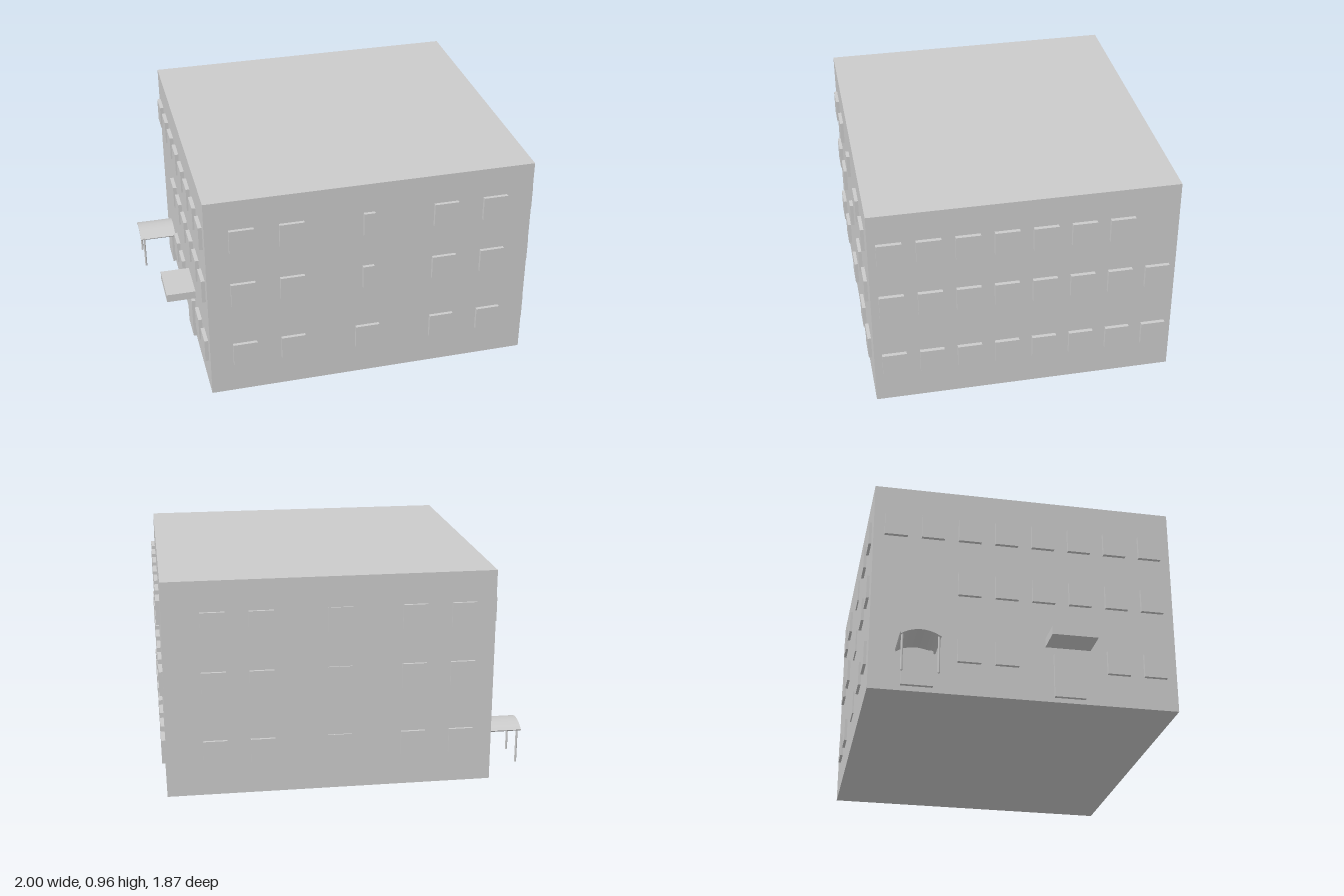
import * as THREE from 'three';

const grey = new THREE.MeshStandardMaterial({ color: 0xcccccc });
const HX = 0.713, HZ = 0.66, H = 0.96;          // half width, half depth, height
const ROWS = [0.197, 0.508, 0.772];             // window centre heights
const WIN = 0.106;

function add(parent, name, geometry, x = 0, y = 0, z = 0) {
  const mesh = new THREE.Mesh(geometry, grey);
  mesh.name = name;
  mesh.position.set(x, y, z);
  parent.add(mesh);
  return mesh;
}

// A wall group: local x runs along the wall, local z points outwards
function wall(parent, name, angle, distance) {
  const g = new THREE.Group();
  g.name = name;
  g.rotation.y = angle;
  g.position.set(Math.sin(angle) * distance, 0, Math.cos(angle) * distance);
  parent.add(g);
  return g;
}

// A shallow panel standing proud of the wall, partly sunk into it
function panel(parent, name, x, y, w, h, proud) {
  const sunk = 0.01;
  add(parent, name, new THREE.BoxGeometry(w, h, proud + sunk), x, y, (proud - sunk) / 2);
}

export function createModel() {
  const model = new THREE.Group();
  const building = new THREE.Group();
  building.name = 'building';
  building.rotation.y = 0.5577;
  building.position.x = 0.043;
  model.add(building);

  add(building, 'mainBlock', new THREE.BoxGeometry(2 * HX, H, 2 * HZ), 0, H / 2, 0);

  const front = wall(building, 'frontWall', 0, HZ);
  const back = wall(building, 'backWall', Math.PI, HZ);
  const long = wall(building, 'windowWall', Math.PI / 2, HX);
  const entry = wall(building, 'entranceWall', -Math.PI / 2, HX);

  ROWS.forEach((y, row) => {
    // Front: narrow stair windows in the middle of the upper floors
    [-0.56, -0.347, -0.014, 0.325, 0.544].forEach((x, i) =>
      panel(front, 'frontWindow', x, y, i === 2 && row > 0 ? 0.049 : WIN, WIN, 0.015));

    // Back
    [-0.502, -0.296, 0.039, 0.361, 0.574].forEach((x, i) =>
      panel(back, 'backWindow', x, y, WIN, WIN, i === 2 ? 0.006 : 0.012));

    // Long window wall: eight per floor, seven on the top floor
    for (let i = 0; i < (row === 2 ? 7 : 8); i++)
      panel(long, 'sideWindow', -0.573 + i * 0.1643, y, WIN, WIN, 0.017);

    // Entrance wall: the lower floors leave room for the doors
    const columns = [[0, 1, 4, 5], [0, 1, 2, 3, 4, 5], [0, 1, 2, 3, 4, 5, 6, 7]][row];
    for (const i of columns)
      panel(entry, 'entranceSideWindow', 0.564 - i * 0.161, y, 0.1, WIN, 0.0165);
  });

  // Main double door under a flat canopy
  for (const s of [-1, 1]) panel(entry, 'mainDoorLeaf', 0.187 + s * 0.0335, 0.118, 0.067, 0.195, 0.0165);
  add(entry, 'flatCanopy', new THREE.BoxGeometry(0.197, 0.037, 0.131), 0.184, 0.268, 0.0655);

  // Second double door under an arched porch
  for (const s of [-1, 1]) panel(entry, 'porchDoorLeaf', -0.459 + s * 0.0335, 0.102, 0.067, 0.16, 0.0165);

  // Arched roof: a thin circular shell running out from the wall
  const half = 0.085, rise = 0.026, thick = 0.007;
  const r = (half * half + rise * rise) / (2 * rise);
  const a = Math.asin(half / r);
  const arch = new THREE.Shape();
  arch.absarc(0, 0, r, Math.PI / 2 - a, Math.PI / 2 + a, false);
  arch.absarc(0, 0, r - thick, Math.PI / 2 + a, Math.PI / 2 - a, true);
  const roof = new THREE.ExtrudeGeometry(arch, { depth: 0.172, bevelEnabled: false, curveSegments: 16 });
  add(entry, 'porchRoof', roof, -0.466, 0.205 - r, 0);

  for (const x of [-0.541, -0.391])
    add(entry, 'porchPost', new THREE.CylinderGeometry(0.005, 0.005, 0.163, 10), x, 0.1015, 0.155);

  return model;
}
